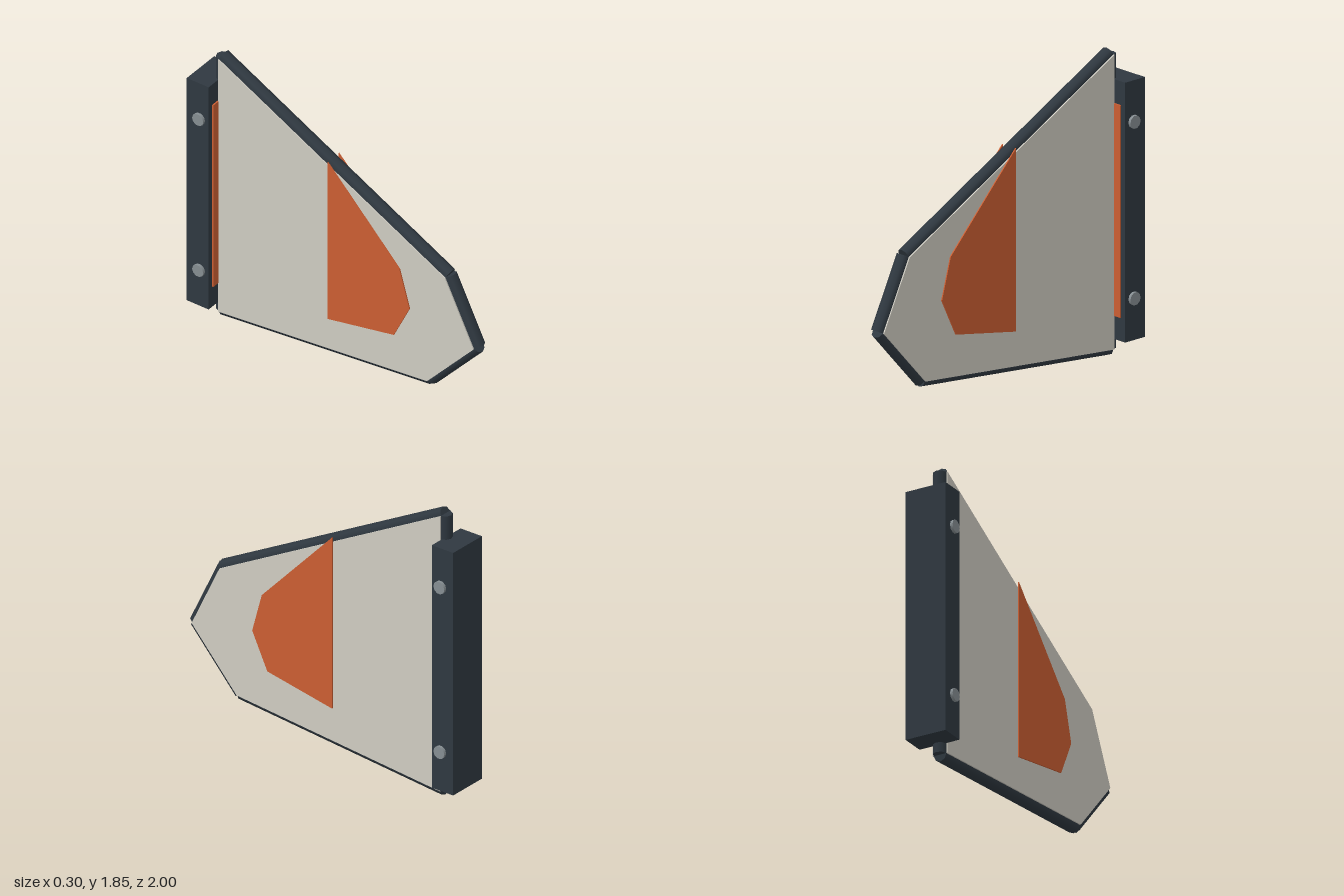
import * as THREE from 'three';

const mat = (name, color) => {
  const m = new THREE.MeshStandardMaterial({ color });
  m.name = name;
  return m;
};

export function createModel() {
  const cream = mat('cream', 0xcfccc2);
  const orange = mat('orange', 0xcb5e32);
  const dark = mat('dark slate', 0x2f3840);
  const steel = mat('steel', 0x868e92);

  const model = new THREE.Group();
  model.name = 'fin';
  const add = (name, geometry, material, x = 0, y = 0, z = 0) => {
    const mesh = new THREE.Mesh(geometry, material);
    mesh.name = name;
    mesh.position.set(x, y, z);
    model.add(mesh);
    return mesh;
  };

  // Side outline given as [z, y], extruded across x and centred
  const sidePlate = (outline, thickness) => {
    const shape = new THREE.Shape(outline.map(([z, y]) => new THREE.Vector2(-z, y)));
    return new THREE.ExtrudeGeometry(shape, { depth: thickness, bevelEnabled: false })
      .translate(0, 0, -thickness / 2)
      .rotateY(Math.PI / 2);
  };

  // Fin panel
  const outline = [[-0.84, 0.04], [0.64, 0.18], [0.967, 0.54], [0.765, 0.955], [-0.84, 1.81]];
  add('finPanel', sidePlate(outline, 0.1), cream);

  // Round edge trim, one straight bar per side of the panel
  const up = new THREE.Vector3(0, 1, 0);
  outline.forEach(([z, y], i) => {
    const [z2, y2] = outline[(i + 1) % outline.length];
    const dir = new THREE.Vector3(0, y2 - y, z2 - z);
    const length = dir.length();
    const bar = add('edgeTrim', new THREE.CylinderGeometry(0.042, 0.042, length, 8), dark,
      0, (y + y2) / 2, (z + z2) / 2);
    bar.quaternion.setFromUnitVectors(up, dir.normalize());
  });

  // Painted patch on both faces
  const patch = [[-0.06, 0.325], [0.41, 0.412], [0.52, 0.64], [0.45, 0.89], [-0.06, 1.425]];
  for (const side of [-1, 1]) {
    add('sidePatch', sidePlate(patch, 0.008), orange, side * 0.054);
  }

  // Mounting block with its front strip
  add('mountBlock', new THREE.BoxGeometry(0.265, 1.56, 0.155), dark, 0, 0.88, -0.9225);
  add('mountStrip', new THREE.BoxGeometry(0.2, 1.275, 0.009), orange, 0, 0.88, -0.8405);

  // Bolts through the block
  for (const y of [0.353, 1.413]) {
    add('bolt', new THREE.CylinderGeometry(0.04, 0.04, 0.3, 10).rotateZ(Math.PI / 2), steel, 0, y, -0.91);
  }
  return model;
}
